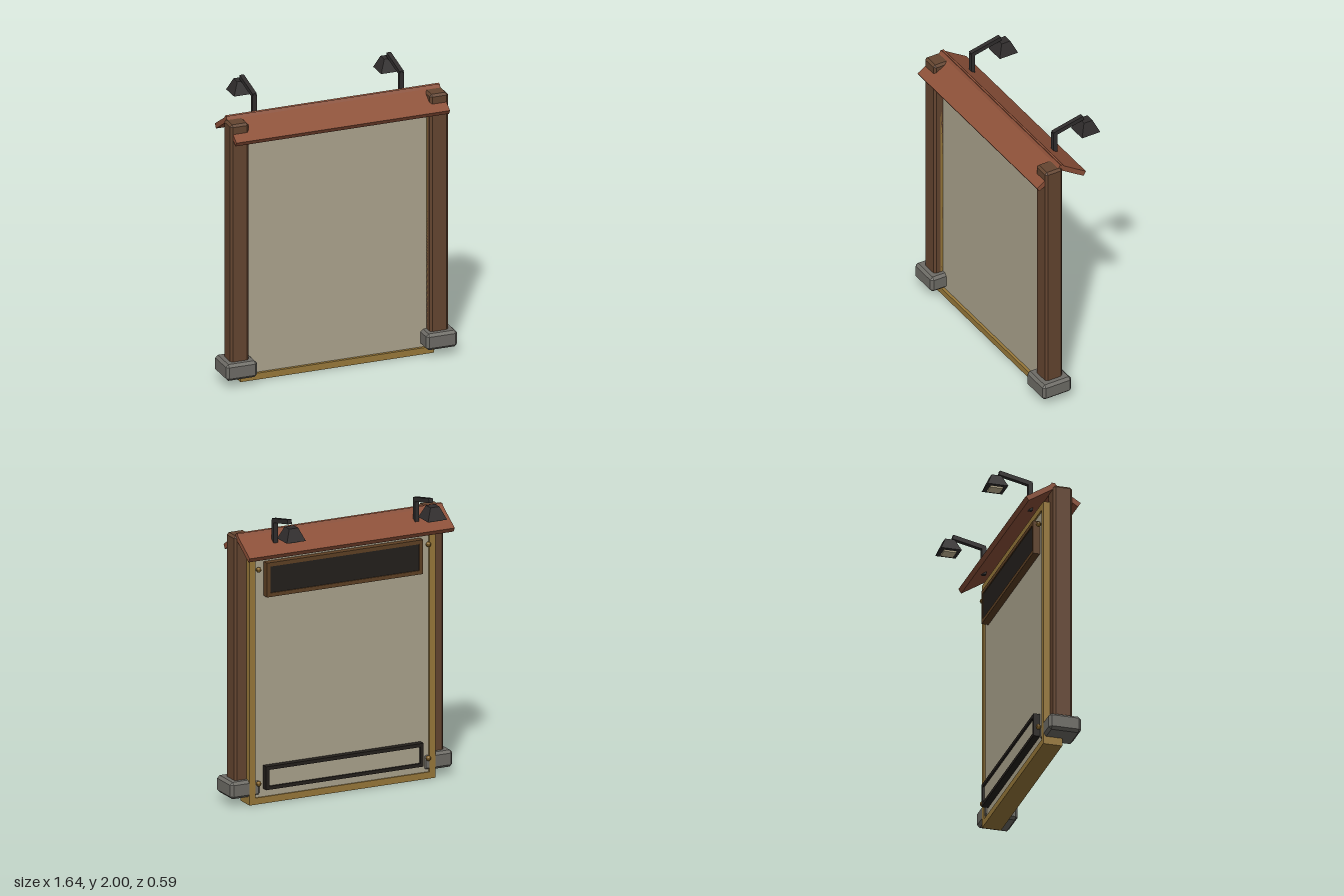
import * as THREE from 'three';
import { ConvexGeometry } from 'three/addons/geometries/ConvexGeometry.js';

const mat = (color) => new THREE.MeshStandardMaterial({ color, flatShading: true });
const wood = mat(0x644530), stone = mat(0x6e6c66), gold = mat(0x99793a), beige = mat(0xaca48e);
const tile = mat(0x8c5038), iron = mat(0x302d2d), black = mat(0x24201c), trim = mat(0x5e4024);
const glow = mat(0xc9bb98), brass = mat(0x8a682c);

// Mesh from a geometry, centred at x, y, z
function add(parent, name, geometry, material, x, y, z) {
  const mesh = new THREE.Mesh(geometry, material);
  mesh.name = name;
  mesh.position.set(x, y, z);
  parent.add(mesh);
  return mesh;
}

// Box given by its lower and upper corners
function box(parent, name, material, [x0, y0, z0], [x1, y1, z1]) {
  return add(parent, name, new THREE.BoxGeometry(x1 - x0, y1 - y0, z1 - z0), material,
    (x0 + x1) / 2, (y0 + y1) / 2, (z0 + z1) / 2);
}

// Box with every edge chamfered by c
function chamferBox(w, h, d, c) {
  const points = [];
  for (const sx of [-1, 1]) for (const sy of [-1, 1]) for (const sz of [-1, 1]) {
    for (let k = 0; k < 3; k++) {
      const inset = [c, c, c];
      inset[k] = 0;
      points.push(new THREE.Vector3(
        sx * (w / 2 - inset[0]), sy * (h / 2 - inset[1]), sz * (d / 2 - inset[2])));
    }
  }
  return new ConvexGeometry(points);
}

// Rectangular frame, border b wide, from z0 to z1
function frame(parent, name, material, w, y0, y1, b, z0, z1) {
  const rect = (Type, hw, lo, hi) => new Type([
    new THREE.Vector2(-hw, lo), new THREE.Vector2(hw, lo),
    new THREE.Vector2(hw, hi), new THREE.Vector2(-hw, hi)]);
  const shape = rect(THREE.Shape, w / 2, y0, y1);
  shape.holes.push(rect(THREE.Path, w / 2 - b, y0 + b, y1 - b));
  const geometry = new THREE.ExtrudeGeometry(shape, { depth: z1 - z0, bevelEnabled: false });
  return add(parent, name, geometry, material, 0, 0, z0);
}

function createLamp(x) {
  const lamp = new THREE.Group();
  lamp.name = 'lamp';
  lamp.position.x = x;
  box(lamp, 'lampPole', iron, [-0.015, 1.75, 0], [0.015, 1.945, 0.03]);
  // Arm rising gently backwards
  const arm = add(lamp, 'lampArm', new THREE.BoxGeometry(0.03, 0.03, 0.23), iron, 0, 1.965, -0.087);
  arm.rotation.x = 0.22;
  // Square tapered shade with a light panel underneath
  const shade = new THREE.CylinderGeometry(0.033 * Math.SQRT2, 0.07 * Math.SQRT2, 0.085, 4);
  shade.rotateY(Math.PI / 4);
  add(lamp, 'lampShade', shade, iron, 0, 1.918, -0.225);
  add(lamp, 'lampLight', new THREE.BoxGeometry(0.085, 0.015, 0.085), glow, 0, 1.872, -0.225);
  return lamp;
}

export function createModel() {
  const model = new THREE.Group();
  model.name = 'noticeBoard';

  // Board with its surround
  frame(model, 'boardFrame', gold, 1.37, 0, 1.75, 0.045, 0.055, 0.185);
  box(model, 'boardPanel', beige, [-0.645, 0.04, 0.065], [0.645, 1.71, 0.165]);

  // Posts, footings and lamps on both sides
  for (const s of [-1, 1]) {
    add(model, 'post', chamferBox(0.13, 1.72, 0.13, 0.015), wood, s * 0.705, 0.98, 0.165);
    add(model, 'footing', chamferBox(0.22, 0.115, 0.22, 0.018), stone, s * 0.708, 0.112, 0.167);
    model.add(createLamp(s * 0.52));
    // Rivets at the back corners
    for (const y of [0.145, 1.61]) {
      add(model, 'rivet', new THREE.SphereGeometry(0.018, 10, 8), brass, s * 0.625, y, 0.04);
    }
  }

  // Two crossing roof slabs
  for (const [name, z, tilt] of [['roofFront', 0.1825, 0.56], ['roofBack', 0.0225, -0.56]]) {
    const slab = add(model, name, new THREE.BoxGeometry(1.51, 0.035, 0.232), tile, 0, 1.785, z);
    slab.rotation.x = tilt;
  }

  // Upper plaque on the back: dark plate in a wooden trim
  frame(model, 'upperPlaqueTrim', trim, 1.15, 1.42, 1.655, 0.027, 0.018, 0.07);
  box(model, 'upperPlaque', black, [-0.555, 1.44, 0.025], [0.555, 1.635, 0.07]);

  // Lower plaque on the back: pale plate in a black trim
  frame(model, 'lowerPlaqueTrim', black, 1.16, 0.1, 0.26, 0.024, 0.02, 0.07);
  box(model, 'lowerPlaque', beige, [-0.56, 0.12, 0.032], [0.56, 0.24, 0.07]);

  return model;
}
